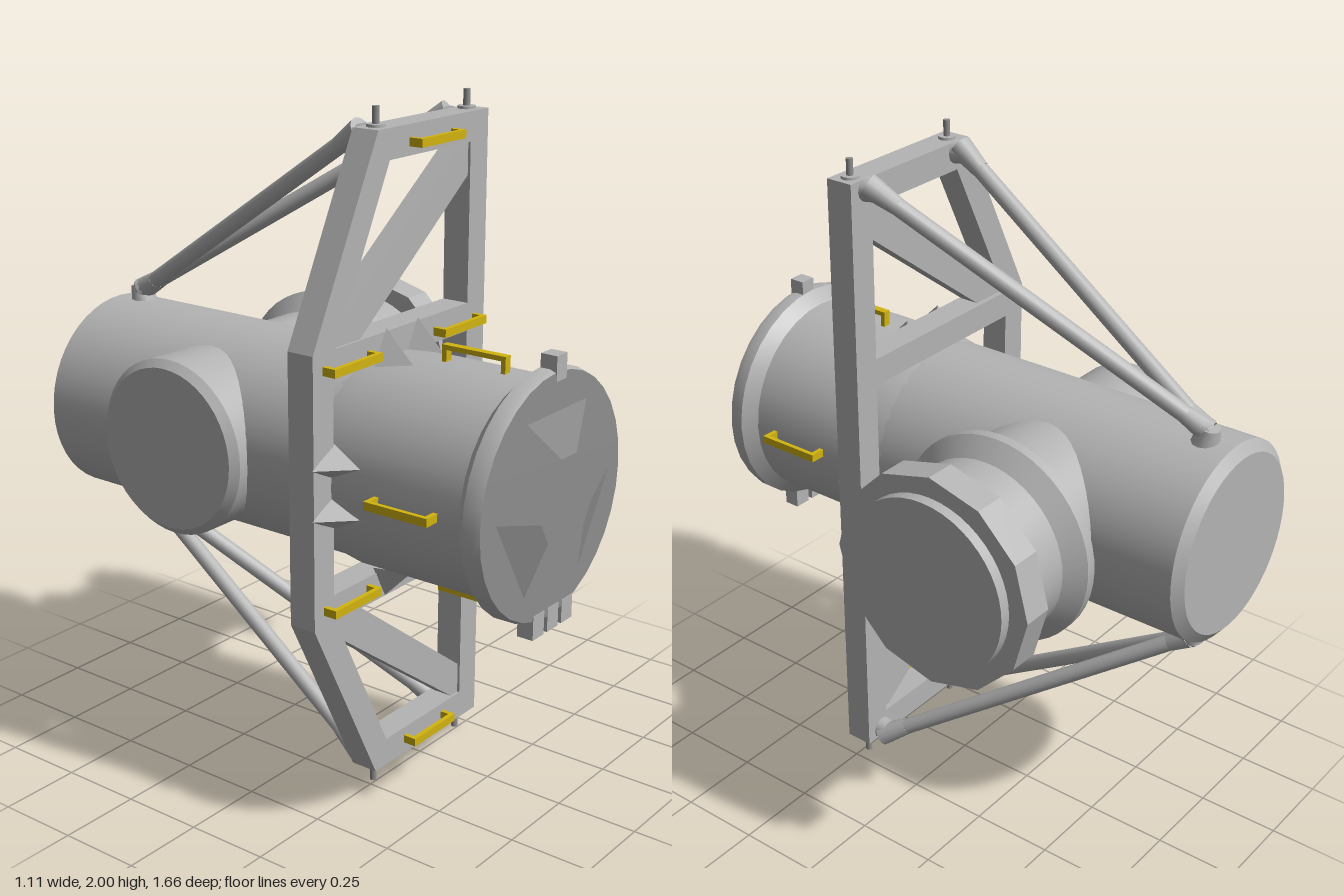
import * as THREE from 'three';
import { toCreasedNormals } from 'three/addons/utils/BufferGeometryUtils.js';
import { ConvexGeometry } from 'three/addons/geometries/ConvexGeometry.js';

const CX = -0.158, CY = 1.01; // axis of the main body
const V = (x, y, z) => new THREE.Vector3(x, y, z);

export function createModel() {
  const model = new THREE.Group();
  const mat = (name, color, extra = {}) => {
    const m = new THREE.MeshStandardMaterial({ color, ...extra });
    m.name = name;
    return m;
  };
  const grey = mat('lightGrey', 0xb4b4b4);
  const dark = mat('darkGrey', 0x8e8e8e, { side: THREE.DoubleSide });
  const yellow = mat('yellow', 0xd2b40f);

  const add = (name, geo, material, parent = model) => {
    const mesh = new THREE.Mesh(geo, material);
    mesh.name = name;
    parent.add(mesh);
    return mesh;
  };
  const box = (name, w, h, d, x, y, z, material, parent) => {
    const m = add(name, new THREE.BoxGeometry(w, h, d), material, parent);
    m.position.set(x, y, z);
    return m;
  };
  // Turned part from [radius, distance along axis] pairs, crisp at the rims
  const turned = (profile, sides, crease = 0.4) => toCreasedNormals(
    new THREE.LatheGeometry(profile.map(p => new THREE.Vector2(...p)), sides), crease);
  // Round rod between two points
  const rod = (name, a, b, r0, r1, material, sides = 12) => {
    const dir = b.clone().sub(a);
    const m = add(name, new THREE.CylinderGeometry(r1, r0, dir.length(), sides), material);
    m.position.copy(a).add(b).multiplyScalar(0.5);
    m.quaternion.setFromUnitVectors(V(0, 1, 0), dir.normalize());
    return m;
  };

  // Main body, front collar and front cap along z
  const alongZ = (name, profile, sides, material) => {
    const m = add(name, turned(profile, sides).rotateX(Math.PI / 2), material);
    m.position.set(CX, CY, 0);
  };
  alongZ('mainBody', [[0, -0.835], [0.27, -0.835], [0.302, -0.81], [0.302, 0.3]], 48, grey);
  alongZ('frontCollar', [[0.3, 0.2], [0.314, 0.28], [0.314, 0.7], [0.352, 0.735], [0.352, 0.765], [0.345, 0.785]], 32, grey);
  alongZ('frontCap', [[0.345, 0.785], [0, 0.787]], 32, dark);

  // Side ports along x
  const alongX = (name, profile, sides, crease) => {
    const m = add(name, turned(profile, sides, crease).rotateZ(-Math.PI / 2), grey);
    m.position.set(0, CY, -0.288);
  };
  alongX('leftPort', [[0.265, -0.1], [0.265, 0.15], [0.318, 0.205], [0.318, 0.235], [0.265, 0.28],
    [0.265, 0.555], [0, 0.555]], 48);
  alongX('leftPortRing', [[0.26, 0.43], [0.325, 0.43], [0.325, 0.522], [0.26, 0.522]], 12, 0.1);
  alongX('rightPort', [[0, -0.512], [0.24, -0.512], [0.262, -0.49], [0.262, -0.15]], 48);

  // Three raised petals on the front cap
  for (let i = 0; i < 3; i++) {
    const g = new THREE.BufferGeometry();
    g.setAttribute('position', new THREE.Float32BufferAttribute(
      [-0.037, 0.125, 0.83, 0.037, 0.125, 0.83, 0.145, 0.24, 0.79, -0.145, 0.24, 0.79], 3));
    g.setIndex([0, 1, 2, 0, 2, 3]);
    g.computeVertexNormals();
    const petal = add('petal', g, dark);
    petal.position.set(CX, CY, 0);
    petal.rotation.z = i * Math.PI * 2 / 3;
  }

  // Lugs on the cap rim
  box('topLug', 0.05, 0.07, 0.05, -0.14, 1.365, 0.762, grey);
  for (const x of [-0.21, -0.138, -0.066]) box('bottomLug', 0.055, 0.07, 0.05, x, 0.655, 0.762, grey);

  // Four groups of pointed gussets and body handles around the collar
  const handle = (name, parent, length, reach, alongZAxis) => {
    const g = new THREE.Group();
    g.name = name;
    box('grip', length, 0.024, 0.014, 0, 0, reach - 0.007, yellow, g);
    for (const s of [-1, 1]) box('gripLeg', 0.014, 0.024, reach, s * (length / 2 - 0.007), 0, reach / 2, yellow, g);
    if (alongZAxis) g.rotation.set(-Math.PI / 2, 0, Math.PI / 2);
    parent.add(g);
    return g;
  };
  for (let i = 0; i < 4; i++) {
    const side = new THREE.Group();
    side.name = 'collarSide';
    side.position.set(CX, CY, 0);
    side.rotation.z = i * Math.PI / 2;
    model.add(side);
    for (const x of [-0.072, 0.072]) {
      add('gusset', new ConvexGeometry([V(x, 0.305, 0.375), V(x, 0.395, 0.285),
        V(x - 0.05, 0.295, 0.28), V(x + 0.05, 0.295, 0.28)]), grey, side);
    }
    const h = new THREE.Group();
    h.name = 'bodyHandle';
    side.add(h);
    box('grip', 0.024, 0.014, 0.205, 0, 0.354, 0.53, yellow, h);
    for (const z of [0.435, 0.625]) box('gripLeg', 0.024, 0.05, 0.014, 0, 0.332, z, yellow, h);
  }

  // Flat truss frame with its openings
  const M = y => 2.007 - y; // mirrored height
  const points = list => list.map(p => new THREE.Vector2(...p));
  const frame = new THREE.Shape(points([[0.245, 0.062], [0.245, 1.945], [-0.268, 1.945],
    [-0.545, 1.395], [-0.545, M(1.395)], [-0.268, 0.062]]));
  const upper = [[0.16, 1.395], [0.16, 1.86], [-0.217, 1.86], [-0.45, 1.395]];
  frame.holes.push(new THREE.Path(points(upper)),
    new THREE.Path(points(upper.map(([x, y]) => [x, M(y)]))),
    new THREE.Path(points([[-0.46, M(1.312)], [0.16, M(1.312)], [0.16, 1.312], [-0.46, 1.312]])));
  add('frame', new THREE.ExtrudeGeometry(frame, { depth: 0.085, bevelEnabled: false }), grey)
    .position.z = 0.198;

  for (const top of [true, false]) {
    const Y = y => (top ? y : M(y));
    // Diagonal brace across each opening
    const brace = new THREE.Shape(points([[-0.45, 1.395], [-0.335, 1.395], [0.16, 1.765],
      [0.16, 1.86], [0.125, 1.86], [-0.41, 1.47]].map(([x, y]) => [x, Y(y)])));
    add('brace', new THREE.ExtrudeGeometry(brace, { depth: 0.06, bevelEnabled: false }), grey)
      .position.z = 0.215;

    // Struts from the frame corners back to the body
    const foot = V(-0.138, Y(1.345), -0.72);
    for (const x of [-0.215, 0.18]) {
      const head = V(x, Y(1.915), 0.16);
      rod('strut', foot, head, 0.025, 0.025, grey, 16);
      const at = t => foot.clone().lerp(head, t);
      rod('strutFootSocket', at(-0.01), at(0.06), 0.036, 0.026, grey);
      rod('strutHeadSocket', at(0.94), at(1.03), 0.026, 0.036, grey);
      rod('strutMount', head, V(x, Y(1.915), 0.2), 0.03, 0.036, grey);
    }
    rod('strutFoot', V(-0.138, Y(1.28), -0.72), V(-0.138, Y(1.355), -0.735), 0.045, 0.032, grey);

    // Locating pins with washers
    for (const x of [-0.22, 0.202]) {
      rod('pin', V(x, Y(1.94), 0.238), V(x, top ? 2 : 0, 0.238), 0.01, 0.01, dark);
      rod('washer', V(x, Y(1.94), 0.238), V(x, Y(1.953), 0.238), 0.026, 0.026, grey);
    }

    // Hand grips on the frame front
    for (const [x, y] of [[-0.027, 1.897], [-0.402, 1.346], [0.096, 1.346]]) {
      handle('frameHandle', model, 0.205, 0.042).position.set(x, Y(y), 0.283);
    }
  }
  return model;
}
